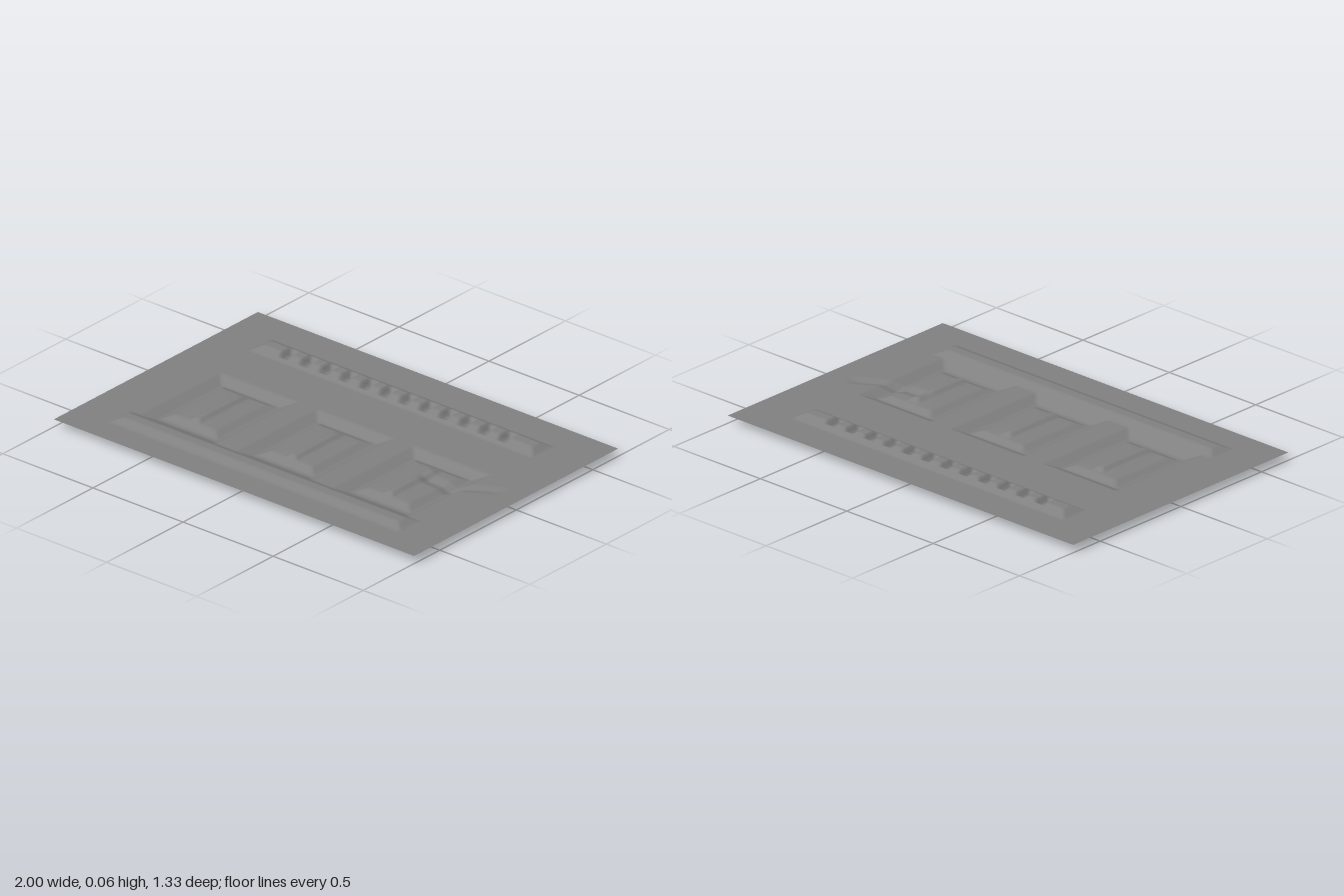
import * as THREE from 'three';

const BASE = 0.04;
const clamp01 = (v) => Math.min(1, Math.max(0, v));

// 0 outside a rectangle, 1 inside, with a mitred bevel of the given width
function plateau(x, z, cx, cz, halfX, halfZ, bevel) {
  const d = Math.min(halfX - Math.abs(x - cx), halfZ - Math.abs(z - cz));
  return clamp01(d / bevel);
}

// Raised ledge below the windows
const sill = (x, z) => 0.02 * plateau(x, z, 0, 0.466, 0.805, 0.066, 0.042);

// Raised moulding at the back, cut by a row of twelve notches
function cornice(x, z) {
  let cut = 0;
  for (let i = 0; i < 12; i++) {
    cut = Math.max(cut, plateau(x, z, -0.62 + i * 0.11, -0.428, 0.03, 0.044, 0.018));
  }
  return 0.025 * plateau(x, z, -0.005, -0.434, 0.785, 0.067, 0.042) * (1 - cut) - 0.003 * cut;
}

// Sunken frame, raised pane and slim central bar
function windowRelief(x, z, cx) {
  const frame = plateau(x, z, cx, 0.14, 0.215, 0.265, 0.055);
  const pane = plateau(x, z, cx, 0.13, 0.155, 0.2, 0.04);
  const swell = plateau(x, z, cx, 0.14, 0.13, 0.18, 0.1);
  const bar = plateau(x, z, cx, 0.14, 0.032, 0.158, 0.02);
  return -0.025 * frame + 0.017 * pane + 0.004 * swell + 0.014 * bar;
}

// Wavy crack running out of the window on the left
function crack(x, z) {
  const t = clamp01((x - 0.53) / 0.36);
  const mid = 0.065 - 0.095 * THREE.MathUtils.smoothstep(t, 0.4, 1);
  const ends = clamp01((x - 0.51) / 0.05) * clamp01((0.91 - x) / 0.06);
  const across = clamp01(1 - Math.abs(z - mid) / 0.045);
  return -(0.015 - 0.008 * t) * across * ends;
}

function height(x, z) {
  let y = BASE + sill(x, z) + cornice(x, z) + crack(x, z);
  for (const cx of [-0.535, 0, 0.535]) y += windowRelief(x, z, cx);
  return Math.max(0, y);
}

export function createModel() {
  const group = new THREE.Group();
  group.name = 'wallReliefPanel';
  const stone = new THREE.MeshStandardMaterial({ color: 0x808080, side: THREE.DoubleSide });
  stone.name = 'greyStone';

  // One thin sheet whose vertices are lifted by the relief
  const geometry = new THREE.PlaneGeometry(2, 1.334, 260, 174);
  geometry.rotateX(-Math.PI / 2);
  const p = geometry.attributes.position;
  for (let i = 0; i < p.count; i++) p.setY(i, height(p.getX(i), p.getZ(i)));
  geometry.computeVertexNormals();

  const sheet = new THREE.Mesh(geometry, stone);
  sheet.name = 'reliefSheet';
  group.add(sheet);
  return group;
}
